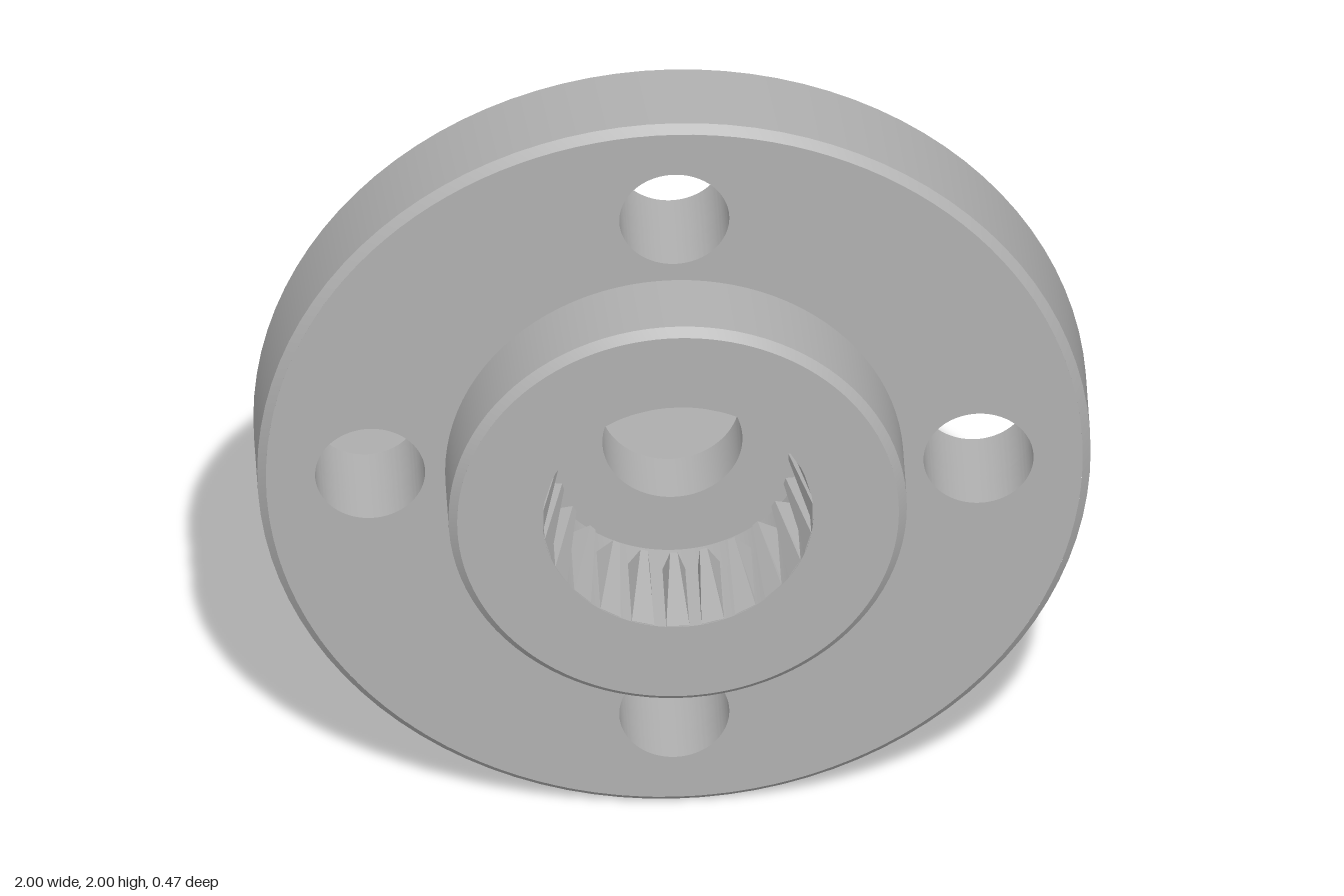
import * as THREE from 'three';
import { toCreasedNormals } from 'three/addons/utils/BufferGeometryUtils.js';

const BACK = -0.235, FLOOR = -0.08, FACE = 0.025, FRONT = 0.235;
const CHAMFER = 0.02, SOCKET = 0.325, BORE = 0.168, TEETH = 24;

export function createModel() {
  const group = new THREE.Group();
  const steel = new THREE.MeshStandardMaterial({ color: 0xb0b0b0 });
  steel.name = 'steel grey';

  const add = (name, geometry, parent = group) => {
    const mesh = new THREE.Mesh(geometry, steel);
    mesh.name = name;
    parent.add(mesh);
    return mesh;
  };

  const circle = (path, x, y, r) => path.absarc(x, y, r, 0, Math.PI * 2, false);

  // Disc from z0 to z1 with round through holes [x, y, radius]
  const disc = (name, r, z0, z1, holes) => {
    const shape = circle(new THREE.Shape(), 0, 0, r);
    shape.holes = holes.map(([x, y, hr]) => circle(new THREE.Path(), x, y, hr));
    const geo = new THREE.ExtrudeGeometry(shape, { depth: z1 - z0, bevelEnabled: false, curveSegments: 64 });
    geo.translate(0, 0, z0);
    add(name, toCreasedNormals(geo, 0.5));
  };

  // Turned outer wall around the z axis
  const rim = (name, profile) => {
    const geo = new THREE.LatheGeometry(profile.map(([r, z]) => new THREE.Vector2(r, z)), 96);
    geo.rotateX(Math.PI / 2);
    add(name, toCreasedNormals(geo, 0.5));
  };

  const boltHoles = [[0.73, 0, 0.132], [0, 0.73, 0.132], [-0.73, 0, 0.132], [0, -0.73, 0.132]];

  // Flange: rear layer carries the bore, front layer the wider socket
  disc('flangeRear', 1 - CHAMFER, BACK, FLOOR, [...boltHoles, [0, 0, BORE]]);
  disc('flangeFront', 1 - CHAMFER, FLOOR, FACE, [...boltHoles, [0, 0, SOCKET]]);
  rim('flangeRim', [[1 - CHAMFER, BACK], [1, BACK + CHAMFER], [1, FACE - CHAMFER], [1 - CHAMFER, FACE]]);

  // Raised hub, chamfered at its front edge
  disc('hub', 0.55 - CHAMFER, FACE, FRONT, [[0, 0, SOCKET]]);
  rim('hubRim', [[0.55, FACE], [0.55, FRONT - CHAMFER], [0.55 - CHAMFER, FRONT]]);

  // Spline teeth: wedges that rise from the socket mouth towards its floor
  const length = FRONT - 0.002;
  const box = new THREE.BoxGeometry(1, 1, length).toNonIndexed();
  const p = box.attributes.position;
  for (let i = 0; i < p.count; i++) {
    const inner = p.getY(i) < 0, front = p.getZ(i) > 0;
    const halfWidth = !inner ? 0.03 : front ? 0.028 : 0.009;
    const radius = !inner ? SOCKET + 0.006 : front ? SOCKET - 0.002 : 0.275;
    p.setXYZ(i, Math.sign(p.getX(i)) * halfWidth, radius, p.getZ(i) + length / 2);
  }
  box.computeVertexNormals();

  const spline = new THREE.Group();
  spline.name = 'spline';
  for (let i = 0; i < TEETH; i++) {
    add('splineTooth', box, spline).rotation.z = (i / TEETH) * Math.PI * 2;
  }
  group.add(spline);

  group.position.y = 1;
  const model = new THREE.Group();
  model.name = 'splinedFlange';
  model.add(group);
  return model;
}
